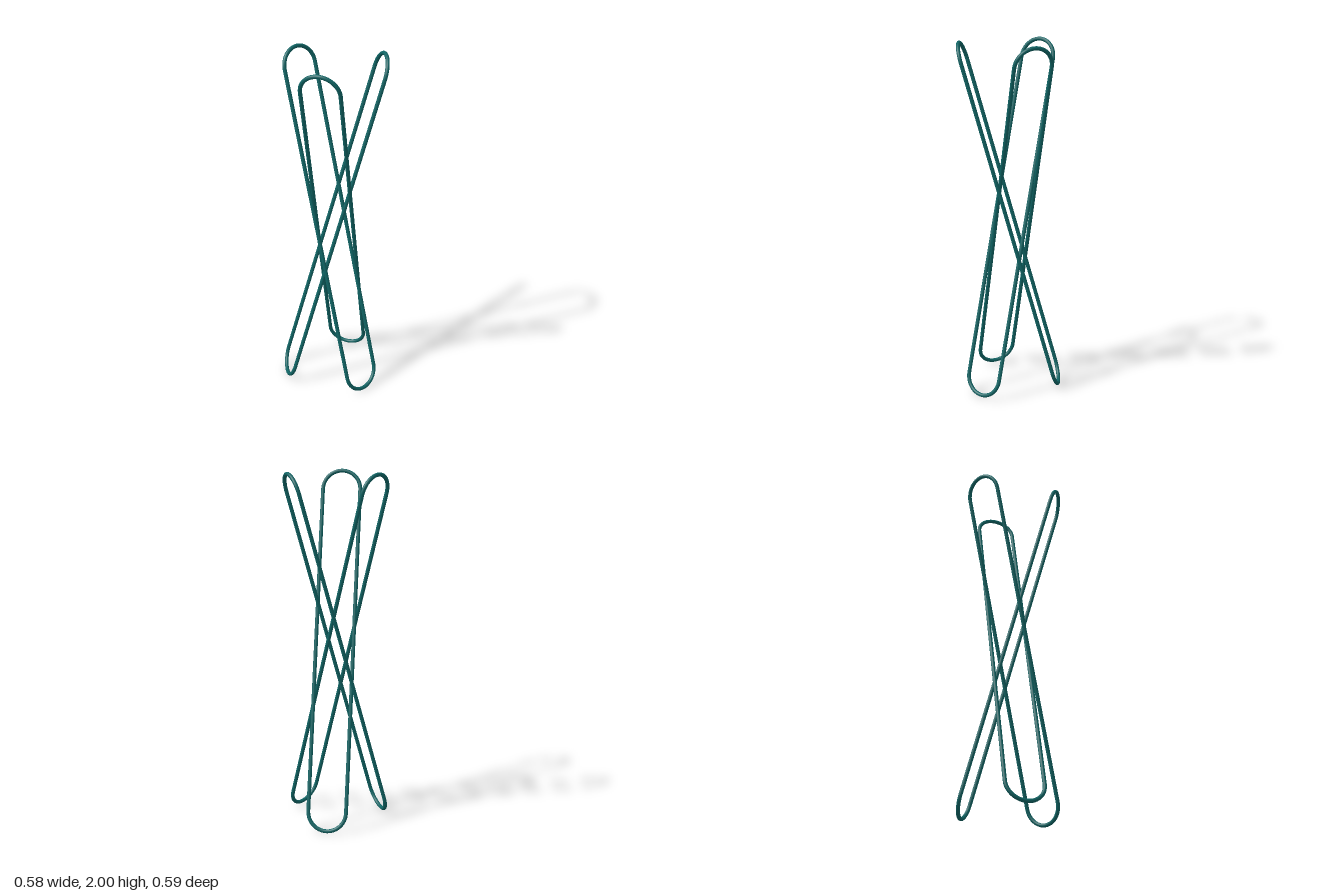
import * as THREE from 'three';

const HALF_WIDTH = 0.108; // centreline half width, also the radius of the round ends
const HALF_LENGTH = 1.029; // centreline half length along the tilted plane
const WIRE = 0.011;
const TILT = Math.atan(0.2835 / 0.989);

// Closed stadium outline: two straight rods joined by half circles
class StadiumCurve extends THREE.Curve {
  getPoint(t, target = new THREE.Vector3()) {
    const straight = 2 * (HALF_LENGTH - HALF_WIDTH);
    const arc = Math.PI * HALF_WIDTH;
    let s = (((t % 1) + 1) % 1) * 2 * (straight + arc);
    const side = s < straight + arc ? 1 : -1; // second half mirrors the first through the centre
    if (side < 0) s -= straight + arc;
    if (s < straight) return target.set(HALF_WIDTH * side, (s - straight / 2) * side, 0);
    const a = (s - straight) / HALF_WIDTH;
    return target.set(
      HALF_WIDTH * Math.cos(a) * side,
      (straight / 2 + HALF_WIDTH * Math.sin(a)) * side,
      0
    );
  }
}

export function createModel() {
  const group = new THREE.Group();
  group.name = 'crossedLoopStand';
  const material = new THREE.MeshStandardMaterial({ color: 0x0f6464 });
  const geometry = new THREE.TubeGeometry(new StadiumCurve(), 400, WIRE, 12, true);

  // Three loops leaning outward, a third of a turn apart, slightly offset to interlace
  const loops = [
    { name: 'frontLoop', turn: 0, x: 0.0175, z: 0 },
    { name: 'leftLoop', turn: (2 * Math.PI) / 3, x: 0.001, z: -0.014 },
    { name: 'rightLoop', turn: (-2 * Math.PI) / 3, x: -0.001, z: 0.004 },
  ];
  for (const { name, turn, x, z } of loops) {
    const loop = new THREE.Mesh(geometry, material);
    loop.name = name;
    loop.rotation.set(TILT, turn, 0, 'YXZ');
    loop.position.set(x, 1, z);
    group.add(loop);
  }
  return group;
}
